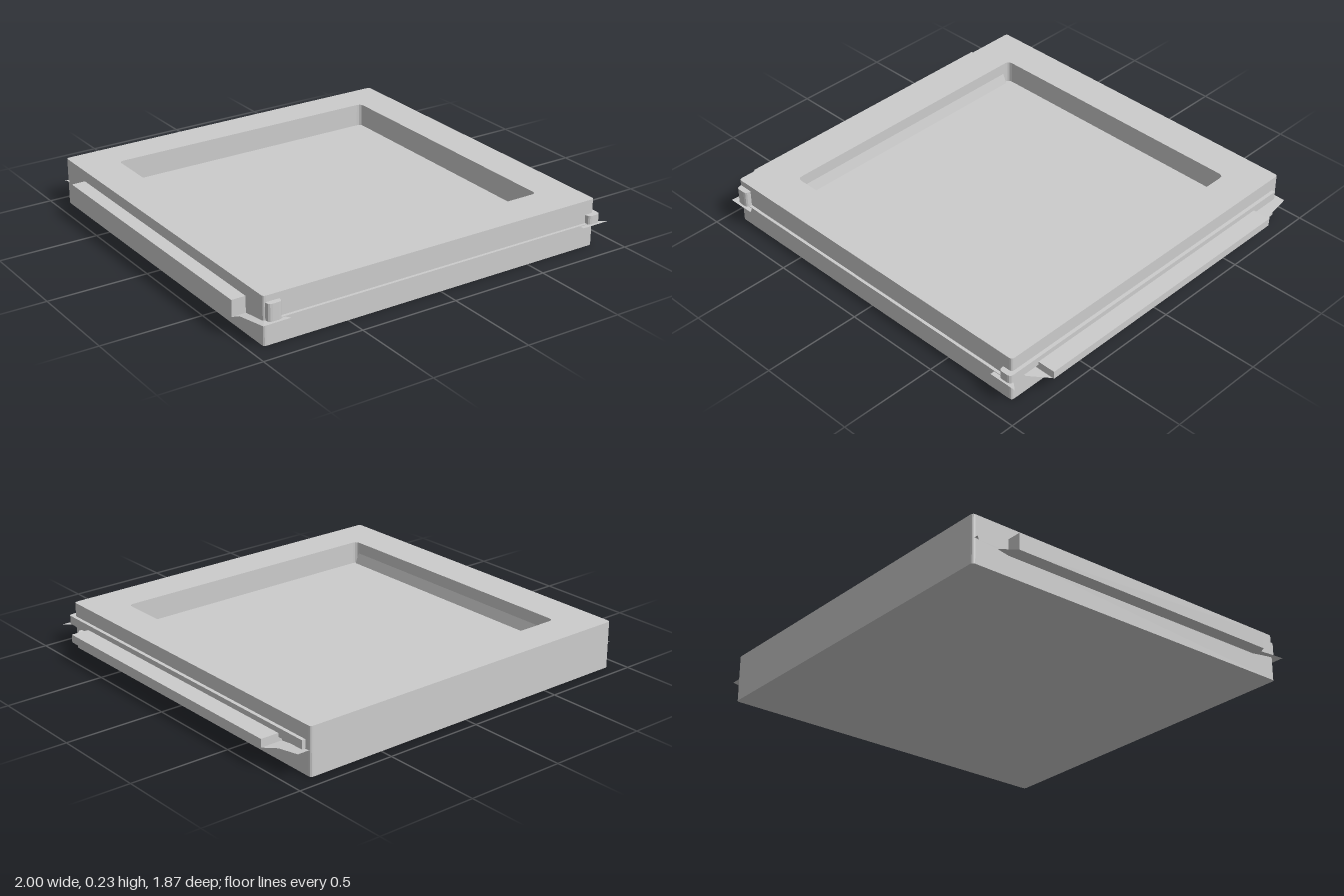
import * as THREE from 'three';

const grey = new THREE.MeshStandardMaterial({ color: 0xcccccc, flatShading: true, side: THREE.DoubleSide });

// Rounded rectangle in plan (x, z); the shape's y is -z
function plan(Type, x0, x1, z0, z1, r) {
  const p = new Type(), a = -z1, b = -z0;
  p.moveTo(x0 + r, a);
  p.lineTo(x1 - r, a);
  p.quadraticCurveTo(x1, a, x1, a + r);
  p.lineTo(x1, b - r);
  p.quadraticCurveTo(x1, b, x1 - r, b);
  p.lineTo(x0 + r, b);
  p.quadraticCurveTo(x0, b, x0, b - r);
  p.lineTo(x0, a + r);
  p.quadraticCurveTo(x0, a, x0 + r, a);
  return p;
}

export function createModel() {
  const model = new THREE.Group();

  const add = (name, geometry) => {
    const mesh = new THREE.Mesh(geometry, grey);
    mesh.name = name;
    model.add(mesh);
    return mesh;
  };
  // Upright slab from a plan shape
  const slab = (name, shape, y0, y1) => {
    const g = new THREE.ExtrudeGeometry(shape, { depth: y1 - y0, bevelEnabled: false, curveSegments: 3 });
    g.rotateX(-Math.PI / 2);
    g.translate(0, y0, 0);
    return add(name, g);
  };
  const box = (name, x0, x1, y0, y1, z0, z1) => {
    const g = new THREE.BoxGeometry(x1 - x0, y1 - y0, z1 - z0);
    g.translate((x0 + x1) / 2, (y0 + y1) / 2, (z0 + z1) / 2);
    return add(name, g);
  };
  // Thin sheet as a fan of [x, y, z] corners
  const sheet = (name, corners) => {
    const g = new THREE.BufferGeometry();
    g.setAttribute('position', new THREE.Float32BufferAttribute(corners.flat(), 3));
    const index = [];
    for (let i = 1; i < corners.length - 1; i++) index.push(0, i, i + 1);
    g.setIndex(index);
    g.computeVertexNormals();
    return add(name, g);
  };

  // Solid lower tray and the raised frame around the recess
  slab('base', plan(THREE.Shape, -0.93, 0.89, -0.935, 0.89, 0.015), 0, 0.12);
  const rim = plan(THREE.Shape, -0.93, 0.89, -0.935, 0.89, 0.015);
  rim.holes.push(plan(THREE.Path, -0.735, 0.705, -0.75, 0.69, 0.025));
  slab('frame', rim, 0.12, 0.235);

  // Sloping fillet at the foot of the recess's side wall
  sheet('recessFillet', [
    [-0.735, 0.175, 0.67], [-0.722, 0.12, 0.68],
    [-0.722, 0.12, -0.72], [-0.735, 0.175, -0.71],
  ]);

  // Seam lip on the front, and the strip on the left with its corner return
  box('frontLip', -0.9, 0.89, 0.115, 0.123, 0.88, 0.905);
  box('leftStrip', 0.88, 0.908, 0.122, 0.165, -0.9, 0.89);
  slab('leftCornerClip', plan(THREE.Shape, 0.84, 0.908, 0.87, 0.918, 0.02), 0.122, 0.165);
  slab('rightCornerClip', plan(THREE.Shape, -0.92, -0.85, 0.87, 0.918, 0.02), 0.122, 0.205);

  // Side rails
  box('leftRail', 0.885, 1, 0.1, 0.14, -0.74, 0.745);
  box('rightRail', -1, -0.925, 0.1, 0.18, -0.74, 0.75);

  // Thin flared tabs at the four corners
  sheet('backLeftTab', [
    [0.88, 0.123, -0.925], [0.95, 0.123, -0.925], [0.963, 0.105, -0.77],
    [1, 0.1, -0.74], [0.88, 0.1, -0.74],
  ]);
  sheet('frontLeftRailTab', [[1, 0.1, 0.74], [0.91, 0.112, 0.825], [0.88, 0.112, 0.825], [0.88, 0.1, 0.74]]);
  sheet('frontLeftTab', [[0.8, 0.12, 0.88], [0.8, 0.12, 0.928], [0.945, 0.12, 0.928], [0.905, 0.12, 0.895]]);
  sheet('frontRightTab', [
    [-0.92, 0.12, 0.88], [-0.925, 0.1, 0.745], [-0.97, 0.1, 0.76],
    [-0.955, 0.12, 0.93], [-0.815, 0.12, 0.928], [-0.85, 0.12, 0.88],
  ]);
  sheet('frontRightRailTab', [[-1, 0.1, 0.75], [-0.965, 0.103, 0.77], [-0.925, 0.1, 0.75]]);
  sheet('backRightRailTab', [[-1, 0.1, -0.74], [-0.925, 0.112, -0.805], [-0.925, 0.1, -0.74]]);
  sheet('backRightTab', [[-0.95, 0.123, -0.925], [-0.92, 0.123, -0.925], [-0.92, 0.12, -0.89]]);

  return model;
}
